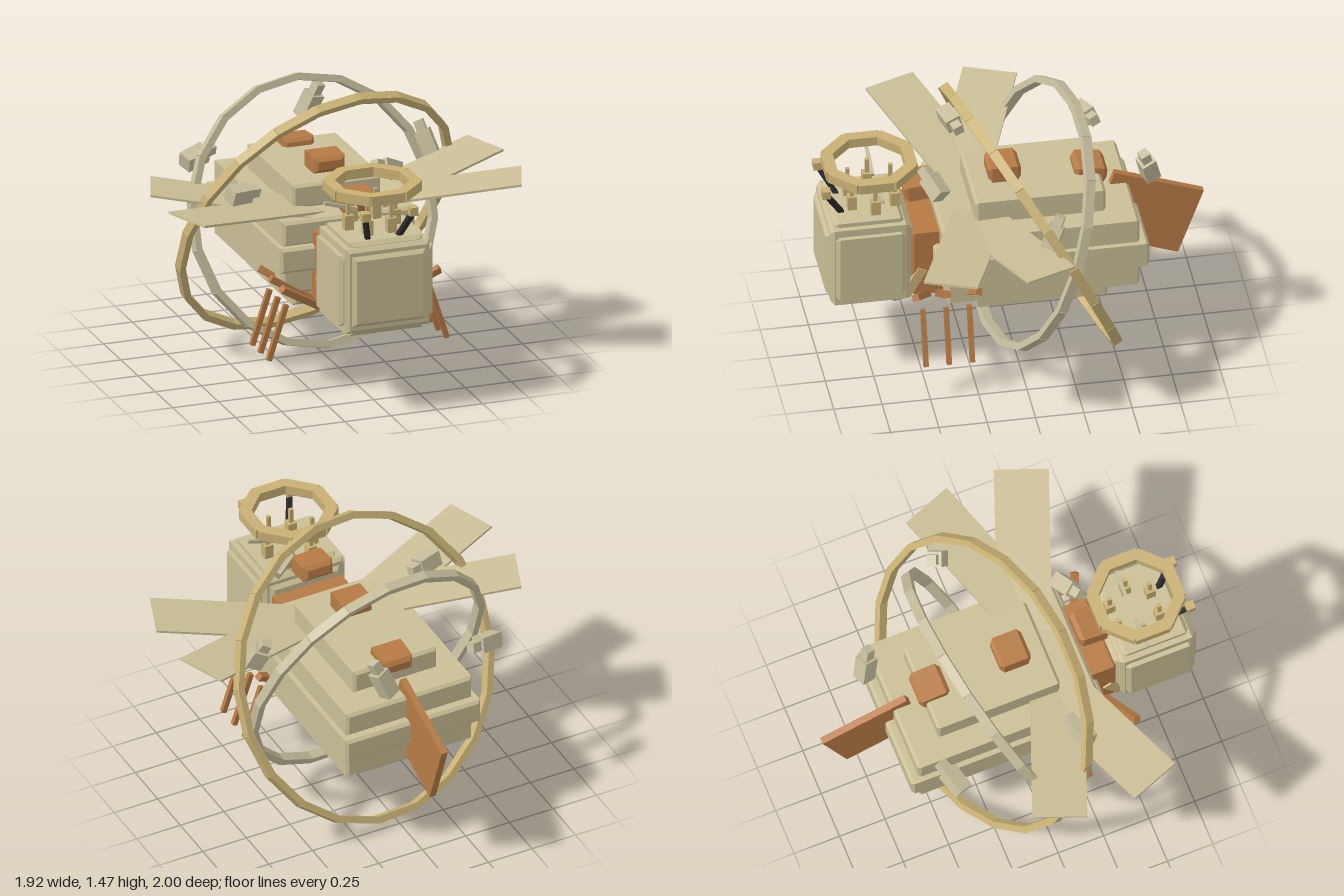
import * as THREE from 'three';

const mat = (name, color) => {
  const m = new THREE.MeshStandardMaterial({ color });
  m.name = name;
  return m;
};
const V = (x, y, z) => new THREE.Vector3(x, y, z);

export function createModel() {
  const shell = mat('pale shell', 0xc9be95);
  const gold = mat('gold', 0xc8b174);
  const copper = mat('copper', 0xb67a45);
  const dark = mat('dark metal', 0x2c2c30);
  const stone = mat('pale stone', 0xc5bd9c);

  const model = new THREE.Group();
  model.name = 'armouredInsect';

  const add = (name, geo, material, pos = [0, 0, 0], rot = [0, 0, 0], parent = model) => {
    const m = new THREE.Mesh(geo, material);
    m.name = name;
    m.position.set(...pos);
    m.rotation.set(...rot);
    parent.add(m);
    return m;
  };

  // Box with chamfered edges
  const chamferBox = (w, h, d, c) => {
    const x = w / 2 - c, y = h / 2 - c;
    const s = new THREE.Shape([[-x, -y], [x, -y], [x, y], [-x, y]].map(p => new THREE.Vector2(...p)));
    const g = new THREE.ExtrudeGeometry(s, {
      depth: d - 2 * c, bevelEnabled: true, bevelThickness: c, bevelSize: c, bevelSegments: 1,
    });
    return g.translate(0, 0, c - d / 2);
  };

  // Square bar between two points
  const bar = (name, a, b, w, d, material) => {
    const dir = b.clone().sub(a);
    const m = add(name, new THREE.BoxGeometry(w, dir.length(), d), material);
    m.position.copy(a).add(b).multiplyScalar(0.5);
    m.quaternion.setFromUnitVectors(V(0, 1, 0), dir.normalize());
    return m;
  };

  // Ring of straight box segments in the plane of two axes
  const ring = (name, center, across, up, r, n, radial, axial, material, from = 0, count = n) => {
    const g = new THREE.Group();
    g.name = name;
    const v = across.normalize(), u = up.normalize();
    g.quaternion.setFromRotationMatrix(new THREE.Matrix4().makeBasis(v, u, v.clone().cross(u)));
    g.position.copy(center);
    const len = 2 * (r + radial * 0.25) * Math.tan(Math.PI / n);
    for (let i = from; i < from + count; i++) {
      const a = i / n * Math.PI * 2;
      add(name + 'Segment', new THREE.BoxGeometry(radial, len, axial), material,
        [r * Math.cos(a), r * Math.sin(a), 0], [0, 0, a], g);
    }
    model.add(g);
  };

  // Layered abdomen: half width, bottom, top, back, front
  [
    [0.24, 0.36, 0.50, -0.465, 0.225],
    [0.36, 0.49, 0.63, -0.61, 0.39],
    [0.387, 0.62, 0.755, -0.655, 0.435],
    [0.36, 0.75, 0.885, -0.61, 0.40],
    [0.24, 0.88, 1.01, -0.455, 0.22],
  ].forEach(([x, y0, y1, z0, z1]) => add('abdomenLayer', chamferBox(2 * x, y1 - y0, z1 - z0, 0.015),
    shell, [0, (y0 + y1) / 2, (z0 + z1) / 2]));

  // Copper studs along the back
  [[1.0, 0.475, 0.12], [1.06, 0.04, 0], [1.0, -0.405, -0.12]].forEach(([y, z, tilt]) =>
    add('backStud', chamferBox(0.17, 0.085, 0.17, 0.02), copper, [0, y, z], [tilt, 0, 0]));

  // Neck and tail
  add('neck', chamferBox(0.4, 0.38, 0.2, 0.03), copper, [0, 0.64, 0.46]);
  add('tailFin', new THREE.BoxGeometry(0.036, 0.39, 0.49), copper, [0, 0.686, -0.702], [-0.35, 0, 0]);

  // Head: crossed plates around a core
  [
    [0.46, 0.46, 0.41], [0.51, 0.38, 0.36], [0.4, 0.505, 0.36], [0.4, 0.38, 0.45],
  ].forEach(([w, h, d]) => add('headPlate', chamferBox(w, h, d, 0.02), shell, [0, 0.685, 0.762]));

  // Jaw hoop and halo
  ring('jaw', V(0, 0.535, 0.53), V(1, 0, 0), V(0, 0.86, -0.5), 0.195, 8, 0.03, 0.05, gold, 4, 5);
  ring('halo', V(0, 1.163, 0.73), V(1, 0, 0), V(0, 0, -1), 0.206, 8, 0.06, 0.052, gold);

  // Six crown posts on the head
  for (let i = 0; i < 6; i++) {
    const a = i * Math.PI / 3, x = 0.128 * Math.cos(a), z = 0.72 + 0.128 * Math.sin(a);
    add('crownPostBase', new THREE.BoxGeometry(0.048, 0.09, 0.048), gold, [x, 0.97, z]);
    add('crownPostTip', new THREE.BoxGeometry(0.02, 0.09, 0.02), gold, [x, 1.05, z]);
  }

  for (const s of [1, -1]) {
    // Antennae and whiskers
    bar('antenna', V(s * 0.08, 0.92, 0.88), V(s * 0.13, 1.08, 0.975), 0.026, 0.026, dark);
    add('antennaTip', new THREE.BoxGeometry(0.045, 0.045, 0.045), gold, [s * 0.13, 1.09, 0.975]);
    bar('whisker', V(s * 0.07, 1.03, 0.7), V(s * 0.25, 1.085, 0.7), 0.018, 0.018, stone);

    // Wings: flat blades swept forward and back
    for (const f of [1, -1]) {
      const wing = new THREE.Group();
      wing.name = 'wing';
      wing.position.set(s * 0.912, 1.0, 0.206 + f * 0.261);
      wing.rotation.y = (s > 0 ? 0 : Math.PI) - s * f * 0.362;
      add('wingBlade', new THREE.BoxGeometry(0.85, 0.012, 0.28).translate(-0.425, 0, 0), shell,
        [0, 0, 0], [0, 0, 0.145], wing);
      model.add(wing);
    }

    // Three two-part legs on each side
    for (const k of [-1, 0, 1]) {
      bar('upperLeg', V(s * 0.16, 0.42, 0.4 + k * 0.055), V(s * 0.43, 0.595, 0.4 + k * 0.165), 0.035, 0.035, copper);
      bar('lowerLeg', V(s * 0.39, 0.49, 0.4 + k * 0.12), V(s * 0.485, 0.2, 0.4 + k * 0.12), 0.026, 0.026, copper);
    }
  }

  // Two great tilted hoops around the body
  ring('goldHoop', V(0, 0.735, -0.105), V(0.98, 0.09, -0.18), V(0, 0.893, 0.45), 0.778, 20, 0.036, 0.05, gold);
  ring('paleHoop', V(-0.01, 0.735, -0.11), V(0.99, -0.043, -0.12), V(0, 0.944, -0.33), 0.678, 18, 0.036, 0.05, stone);

  // Floating stones circling above the back
  [
    [V(0.585, 1.13, -0.16), V(0.63, 0.97, -0.09)],
    [V(0.23, 1.21, -0.65), V(0.16, 1.02, -0.70)],
    [V(-0.40, 0.99, -0.51), V(-0.58, 0.95, -0.45)],
    [V(-0.42, 1.0, 0.19), V(-0.59, 1.01, 0.24)],
    [V(0.11, 1.17, 0.47), V(0.26, 1.09, 0.40)],
  ].forEach(([a, b]) => {
    const mid = a.clone().lerp(b, 0.3);
    bar('stoneCap', a, mid, 0.05, 0.05, stone);
    bar('stoneBlock', mid, b, 0.08, 0.08, stone);
  });

  return model;
}
